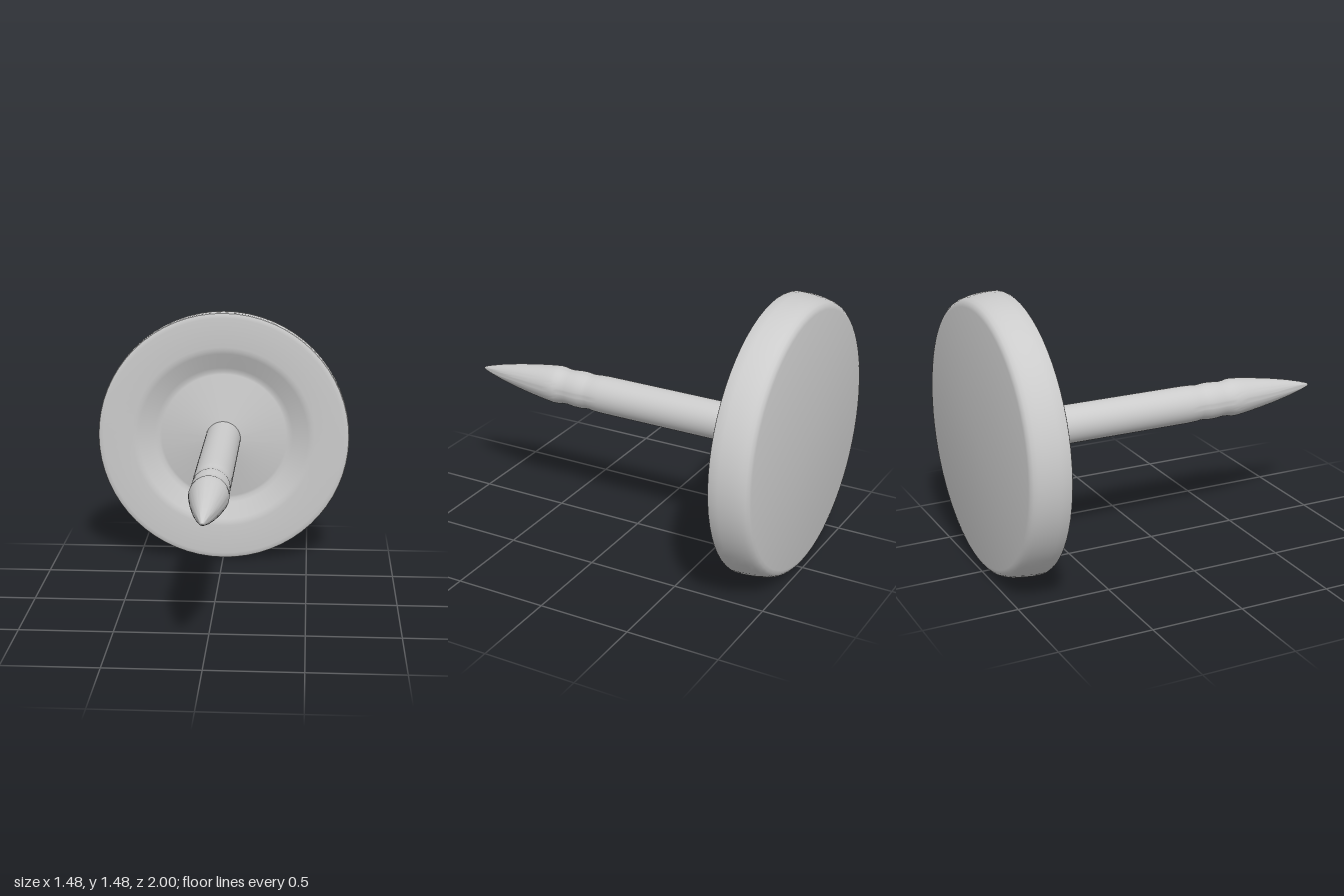
import * as THREE from 'three';
import { toCreasedNormals } from 'three/addons/utils/BufferGeometryUtils.js';

const SEGMENTS = 64;
const AXIS_HEIGHT = 0.75;

// Turns a list of [radius, z] pairs, back to front, around the z axis
function turned(name, profile, material) {
  const points = profile.map(([r, z]) => new THREE.Vector2(r, z));
  const geometry = new THREE.LatheGeometry(points, SEGMENTS);
  geometry.rotateX(Math.PI / 2);
  const mesh = new THREE.Mesh(toCreasedNormals(geometry, 0.6), material);
  mesh.name = name;
  mesh.position.y = AXIS_HEIGHT;
  return mesh;
}

export function createModel() {
  const group = new THREE.Group();
  group.name = 'pushPin';
  const material = new THREE.MeshStandardMaterial({ color: 0xcccccc });

  // Disc head: flat back, rounded rim, recessed front with a raised cone
  group.add(turned('head', [
    [0, -1], [0.68, -1], [0.698, -0.996], [0.712, -0.984], [0.722, -0.965],
    [0.731, -0.935], [0.737, -0.9], [0.742, -0.85], [0.742, -0.805],
    [0.738, -0.795], [0.728, -0.79], [0.71, -0.788],
    [0.54, -0.788], [0.52, -0.79], [0.5, -0.797],
    [0.41, -0.842], [0.385, -0.851], [0.37, -0.85],
    [0.1, -0.768], [0, -0.768],
  ], material));

  // Round shank with shallow rings and a tapered point
  group.add(turned('shank', [
    [0.103, -0.8], [0.103, 0.1], [0.103, 0.2], [0.101, 0.25], [0.097, 0.28],
    [0.098, 0.3], [0.102, 0.33], [0.102, 0.37], [0.098, 0.41],
    [0.097, 0.43], [0.099, 0.455], [0.104, 0.48], [0.105, 0.505],
    [0.1, 0.55], [0.086, 0.65], [0.067, 0.76], [0.046, 0.86],
    [0.024, 0.945], [0.01, 0.988], [0, 1],
  ], material));

  return group;
}
